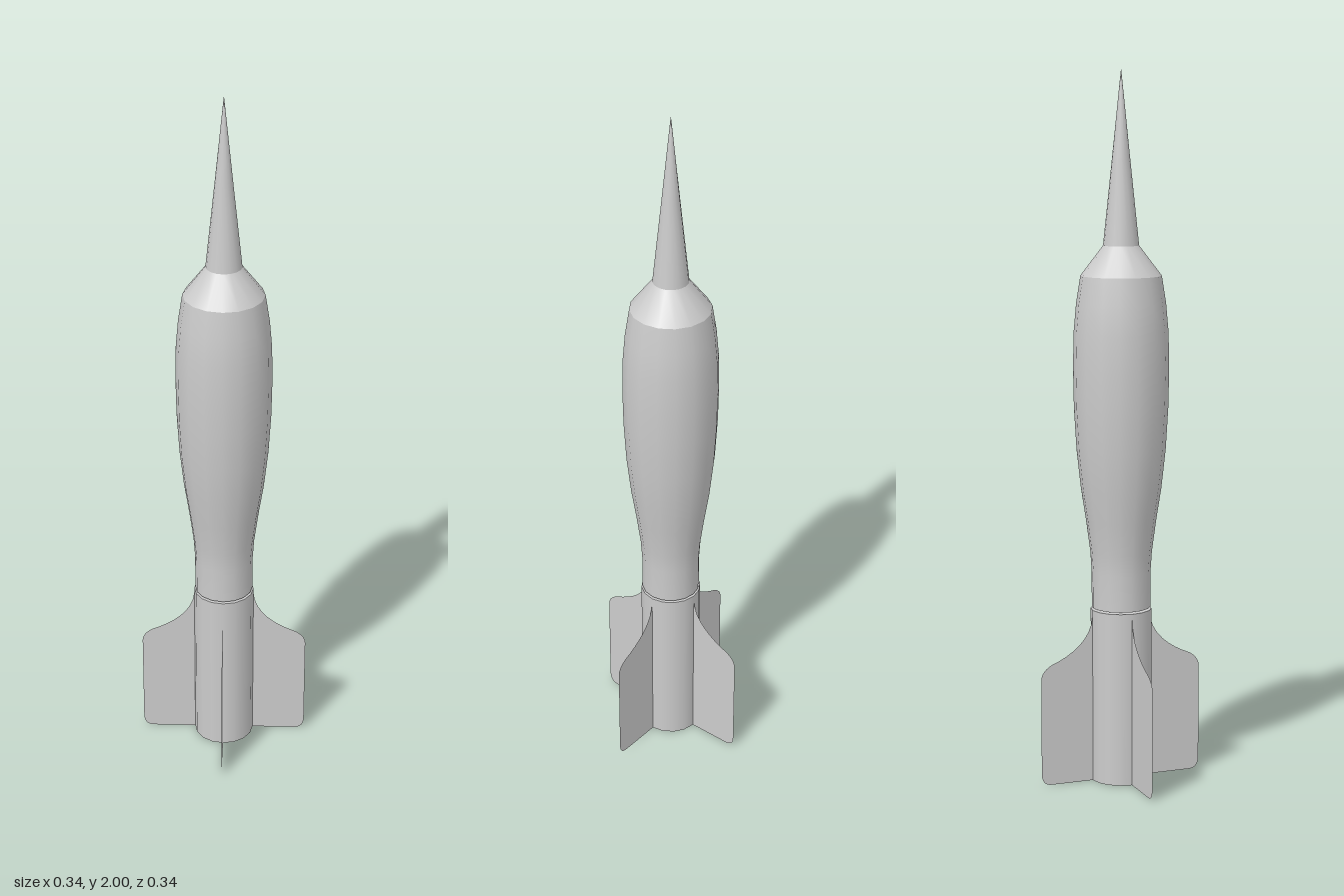
import * as THREE from 'three';

const SIDES = 16;

export function createModel() {
  const group = new THREE.Group();
  const material = new THREE.MeshStandardMaterial({ color: 0xcccccc });
  const thin = new THREE.MeshStandardMaterial({ color: 0xcccccc, side: THREE.DoubleSide });

  // Turned section from [radius, height] pairs, listed bottom to top
  function turned(name, profile) {
    const points = profile.map(([r, y]) => new THREE.Vector2(r, y));
    const mesh = new THREE.Mesh(new THREE.LatheGeometry(points, SIDES), material);
    mesh.name = name;
    group.add(mesh);
  }

  // Closed tail tube carrying the fins
  const tail = new THREE.Mesh(new THREE.CylinderGeometry(0.086, 0.086, 0.495, SIDES), material);
  tail.name = 'tailTube';
  tail.position.y = 0.2475;
  group.add(tail);

  // Body, with separate sections so the shoulder edges stay sharp
  turned('bodyBase', [[0, 0.5], [0.083, 0.5]]);
  turned('body', [
    [0.083, 0.5], [0.083, 0.6], [0.087, 0.66], [0.099, 0.75], [0.113, 0.84],
    [0.125, 0.95], [0.132, 1.07], [0.134, 1.18], [0.132, 1.28], [0.125, 1.36], [0.113, 1.437],
  ]);
  turned('shoulder', [[0.113, 1.437], [0.05, 1.52]]);
  turned('noseSpike', [[0.05, 1.52], [0.025, 1.76], [0.0005, 2]]);

  // Fin outline: x runs outward from the axis
  const outline = new THREE.Shape();
  outline.moveTo(0.08, 0);
  outline.lineTo(0.21, 0);
  outline.quadraticCurveTo(0.24, 0, 0.24, 0.035);
  outline.lineTo(0.24, 0.305);
  outline.quadraticCurveTo(0.24, 0.33, 0.21, 0.347);
  outline.bezierCurveTo(0.15, 0.37, 0.09, 0.41, 0.086, 0.48);
  outline.lineTo(0.08, 0.48);
  outline.closePath();
  const finGeometry = new THREE.ShapeGeometry(outline, 8);

  // Four thin fins on the diagonals
  for (let i = 0; i < 4; i++) {
    const fin = new THREE.Mesh(finGeometry, thin);
    fin.name = 'fin' + (i + 1);
    fin.rotation.y = Math.PI / 4 + (i * Math.PI) / 2;
    group.add(fin);
  }

  return group;
}
